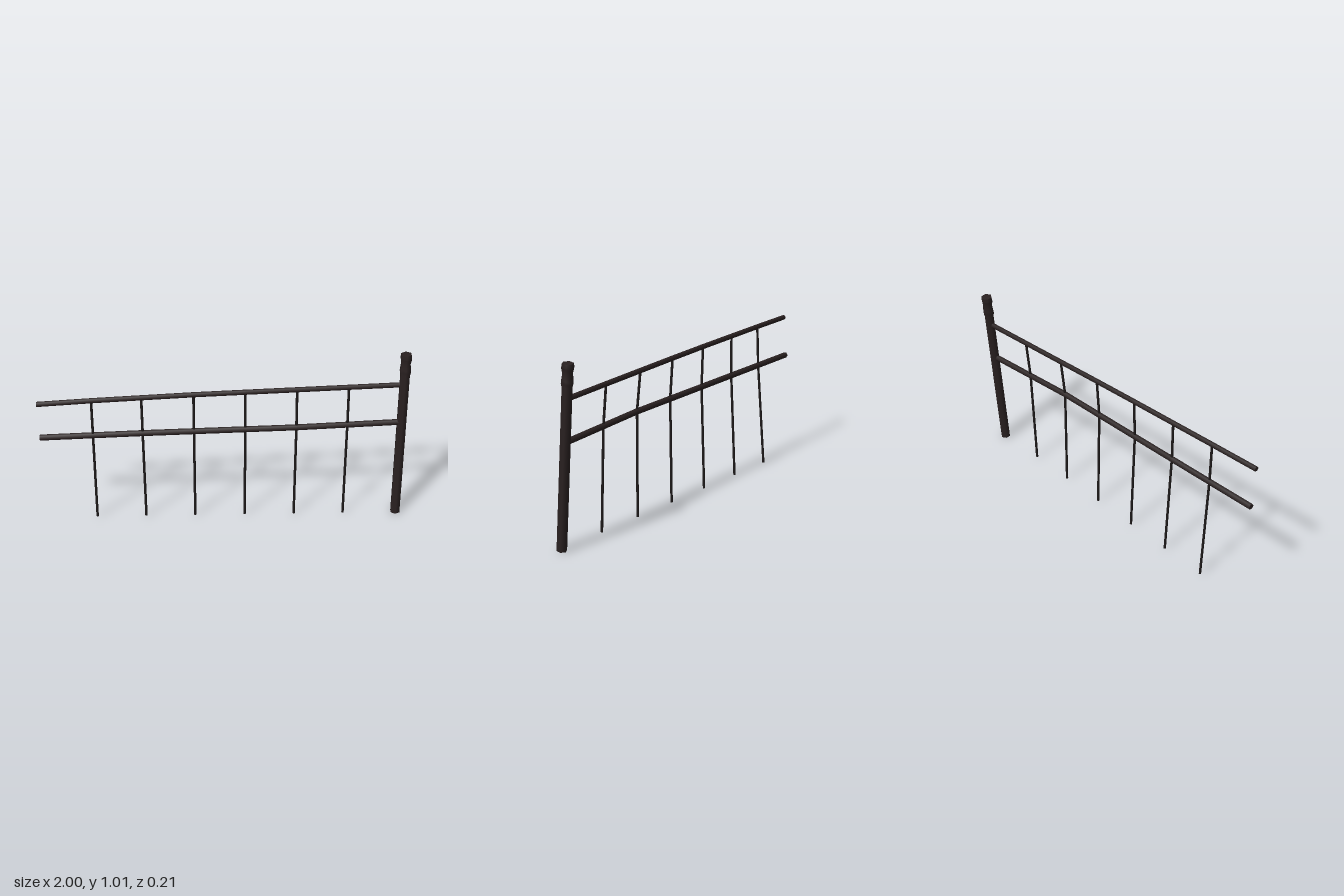
import * as THREE from 'three';

const iron = new THREE.MeshStandardMaterial({ color: 0x2a2121 });
const dark = new THREE.MeshStandardMaterial({ color: 0x1e1a1a });

// Hexagonal bar whose rings follow a list of points.
// Flat rails run from -x to +x, upright bars from top to bottom.
function bar(name, points, radius, material, upright) {
  const last = points.length - 1;
  const geometry = new THREE.CylinderGeometry(radius, radius, 1, 6, last);
  if (upright) geometry.rotateY(Math.PI / 2);
  else geometry.rotateZ(Math.PI / 2);
  const pos = geometry.attributes.position;
  for (let i = 0; i < pos.count; i++) {
    const x = pos.getX(i);
    const y = pos.getY(i);
    const p = points[Math.round((upright ? 0.5 - y : 0.5 + x) * last)];
    pos.setXYZ(i, p[0] + (upright ? x : 0), p[1] + (upright ? 0 : y), p[2] + pos.getZ(i));
  }
  const mesh = new THREE.Mesh(geometry, material);
  mesh.name = name;
  return mesh;
}

// Point of a rail path at a given x
function pointAt(path, x) {
  let k = 1;
  while (k < path.length - 1 && path[k][0] < x) k++;
  const a = path[k - 1];
  const b = path[k];
  const t = (x - a[0]) / (b[0] - a[0]);
  return a.map((v, i) => v + (b[i] - v) * t);
}

export function createModel() {
  const model = new THREE.Group();
  model.name = 'bentRailing';

  // Leaning post with a collar, neck and cap; doubled points keep the ends sharp
  const profile = [
    [0, 0], [0.028, 0], [0.028, 0], [0.028, 0.89], [0.0325, 0.908], [0.0315, 0.925],
    [0.027, 0.96], [0.0325, 0.985], [0.033, 0.995], [0.0305, 1.013], [0.0305, 1.013], [0, 1.014],
  ].map(([r, y]) => new THREE.Vector2(r, y));
  const post = new THREE.Mesh(new THREE.LatheGeometry(profile, 6), iron);
  post.name = 'post';
  post.position.set(0.97, 0.002, 0.009);
  post.rotation.x = -Math.atan(0.081);
  model.add(post);

  // Two slightly bent rails
  const upper = [[-1, 0.833, 0.09], [-0.7, 0.836, 0.066], [-0.17, 0.837, 0.026], [0.11, 0.835, 0.006], [0.968, 0.826, -0.058]];
  const lower = [[-1, 0.603, 0.072], [-0.45, 0.604, 0.046], [0.39, 0.603, 0.012], [0.968, 0.595, -0.037]];
  model.add(bar('upperRail', upper, 0.014, iron, false));
  model.add(bar('lowerRail', lower, 0.0165, iron, false));

  // Balusters, kinked where they pass the lower rail
  const feet = [-0.724, -0.447, -0.169, 0.112, 0.391, 0.67];
  const heads = [-0.712, -0.447, -0.169, 0.109, 0.388, 0.669];
  feet.forEach((x, i) => {
    const top = pointAt(upper, heads[i]);
    const middle = pointAt(lower, heads[i] * 0.75 + x * 0.25);
    model.add(bar('baluster' + (i + 1), [top, middle, [x, 0.005, 0.014]], 0.007, dark, true));
  });

  return model;
}
